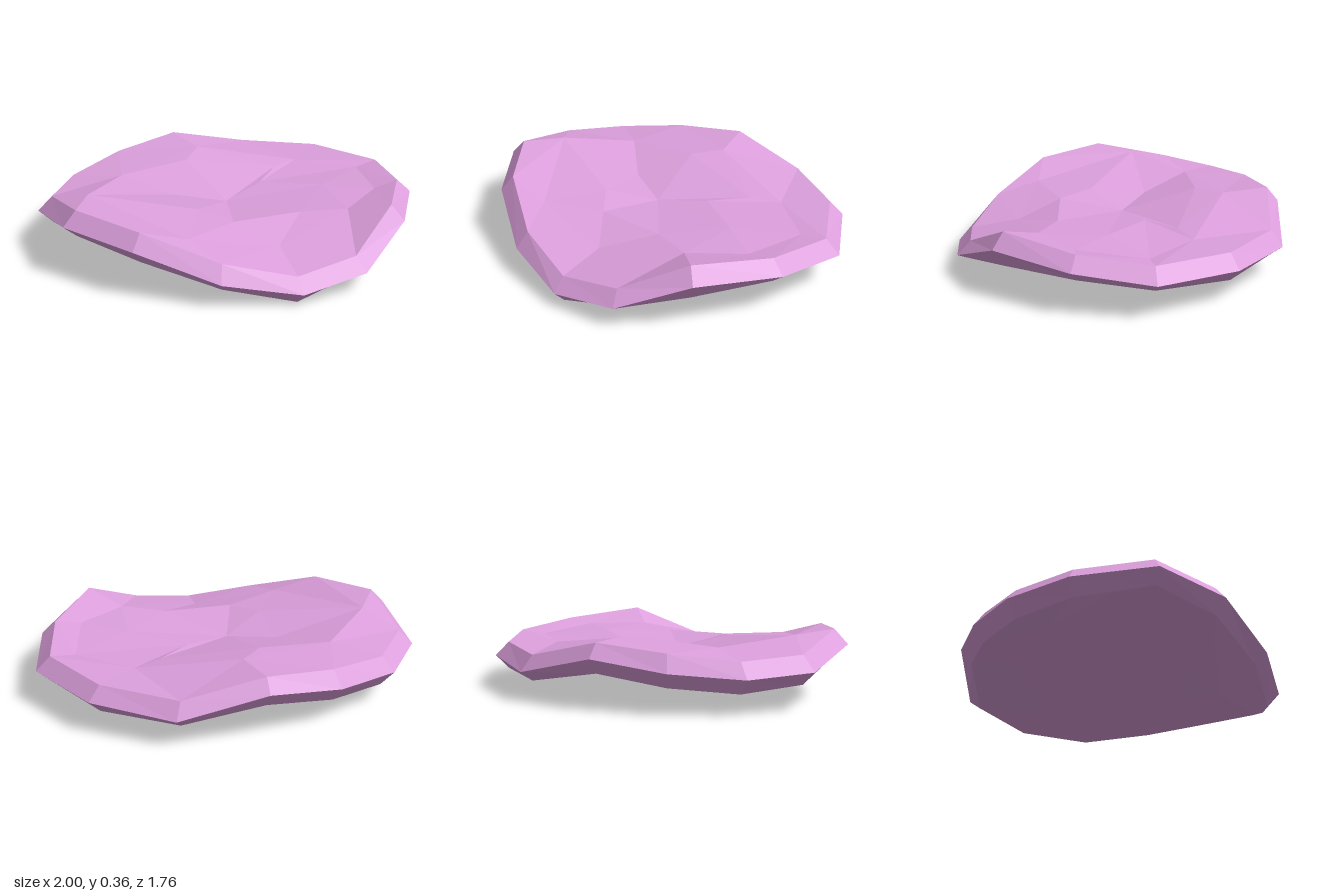
import * as THREE from 'three';

// Rim, clockwise seen from above: x, z, edge height, upper height, lower height
const RIM = [
  [0.04, -0.88, 0.15, 0.235, 0.10], [0.51, -0.81, 0.17, 0.245, 0.10],
  [0.89, -0.54, 0.18, 0.255, 0.13], [1.0, -0.14, 0.22, 0.29, 0.16],
  [0.94, 0.32, 0.25, 0.33, 0.15], [0.74, 0.65, 0.11, 0.18, 0.08],
  [0.43, 0.83, 0.07, 0.14, 0], [0.03, 0.88, 0.135, 0.22, 0.08],
  [-0.41, 0.80, 0.26, 0.34, 0.18], [-0.79, 0.59, 0.285, 0.363, 0.22],
  [-1.0, 0.21, 0.2, 0.28, 0.13], [-0.94, -0.15, 0.185, 0.265, 0.105],
  [-0.71, -0.46, 0.21, 0.30, 0.13], [-0.39, -0.71, 0.26, 0.335, 0.18],
];
// Uneven inner rings of the slab: x, height, z
const OUTER_RING = [
  [0.36, 0.24, -0.51], [0.71, 0.24, -0.42], [0.80, 0.265, -0.06],
  [0.65, 0.265, 0.22], [0.30, 0.19, 0.53], [-0.15, 0.27, 0.65],
  [-0.71, 0.345, 0.31], [-0.59, 0.295, -0.08], [-0.20, 0.325, -0.46],
];
const INNER_RING = [
  [0.25, 0.25, -0.38], [0.17, 0.24, -0.16], [0.52, 0.26, -0.11],
  [0.40, 0.25, 0.24], [0.06, 0.255, 0.40], [-0.13, 0.275, 0.30],
  [-0.28, 0.24, 0.04], [-0.25, 0.315, -0.28],
];
const CENTRE = [0, 0.215, 0.05];
const BEVEL = 0.925; // upper and lower rims sit inside the edge
const THICKNESS = 0.11;

// Clockwise angle around the centre, unwrapped at the end of the loop
function angle(loop, i) {
  const [x, , z] = loop[i % loop.length];
  const a = Math.atan2(x, CENTRE[2] - z);
  return (a < 0 ? a + Math.PI * 2 : a) + (i >= loop.length ? Math.PI * 2 : 0);
}

// Triangles joining two loops of different counts, facing up
function stitch(outer, inner) {
  const tris = [];
  let i = 0, j = 0;
  while (i < outer.length || j < inner.length) {
    const o = outer[i % outer.length], n = inner[j % inner.length];
    const nextO = angle(outer, i) + angle(outer, i + 1);
    const nextI = angle(inner, j) + angle(inner, j + 1);
    if (j >= inner.length || (i < outer.length && nextO <= nextI)) {
      tris.push([n, outer[++i % outer.length], o]);
    } else {
      tris.push([n, inner[++j % inner.length], o]);
    }
  }
  return tris;
}

// Triangles joining two loops of equal count, facing outward when a is above b
function band(a, b) {
  return a.flatMap((p, i) => {
    const k = (i + 1) % a.length;
    return [[p, a[k], b[i]], [a[k], b[k], b[i]]];
  });
}

// Broken surface from a rim to the centre, lowered by a given amount
function surface(rim, drop) {
  const lower = ([x, y, z]) => [x, y - drop, z];
  const ring1 = OUTER_RING.map(lower), ring2 = INNER_RING.map(lower), mid = lower(CENTRE);
  const fan = ring2.map((p, i) => [mid, ring2[(i + 1) % ring2.length], p]);
  return [...stitch(rim, ring1), ...stitch(ring1, ring2), ...fan];
}

export function createModel() {
  const group = new THREE.Group();
  group.name = 'wavySlab';
  const plum = new THREE.MeshStandardMaterial({ color: 0xdda0dd });
  plum.name = 'plum';

  const add = (name, tris) => {
    const geometry = new THREE.BufferGeometry();
    geometry.setAttribute('position', new THREE.Float32BufferAttribute(tris.flat(2), 3));
    geometry.computeVertexNormals(); // unshared corners give flat facets
    const mesh = new THREE.Mesh(geometry, plum);
    mesh.name = name;
    group.add(mesh);
  };

  const edge = RIM.map(([x, z, y]) => [x, y, z]);
  const upper = RIM.map(([x, z, , y]) => [x * BEVEL, y, z * BEVEL]);
  const lower = RIM.map(([x, z, , , y]) => [x * BEVEL, y, z * BEVEL]);

  add('topFace', surface(upper, 0));
  add('upperBevel', band(upper, edge).map(([a, b, c]) => [a, b, c]));
  add('lowerBevel', band(edge, lower));
  // Underside follows the top, turned to face down
  add('underside', surface(lower, THICKNESS).map(([a, b, c]) => [a, c, b]));
  return group;
}
